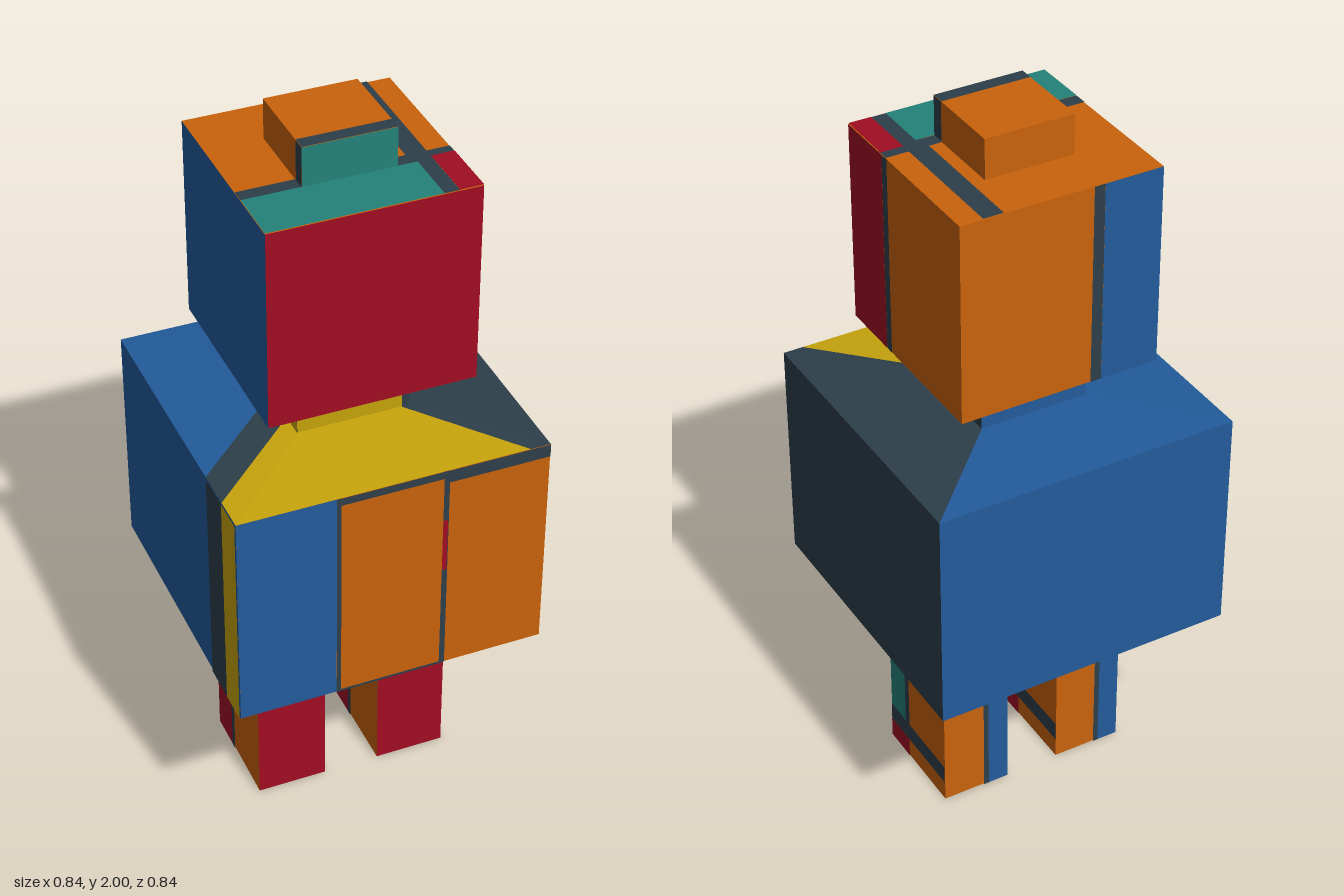
import * as THREE from 'three';

const paint = (name, hex) => {
  const m = new THREE.MeshStandardMaterial({ color: hex });
  m.name = name;
  return m;
};

export function createModel() {
  const red = paint('red', 0xa00d22);
  const orange = paint('orange', 0xc9620c);
  const blue = paint('blue', 0x225b9b);
  const dark = paint('slate', 0x2d3f49);
  const teal = paint('teal', 0x24827a);
  const yellow = paint('yellow', 0xc6a30c);
  const model = new THREE.Group();
  model.name = 'blockFigure';

  // Axis and sign of each face, with the turn that points a plane outwards
  const sides = {
    right: ['x', -1, 0, -Math.PI / 2], left: ['x', 1, 0, Math.PI / 2],
    top: ['y', 1, -Math.PI / 2, 0], bottom: ['y', -1, Math.PI / 2, 0],
    front: ['z', 1, 0, 0], back: ['z', -1, 0, Math.PI],
  };

  // Box with one base colour per face; patches are [side, colour, a0, a1, b0, b1],
  // where (a, b) is (z, y) on x faces, (x, z) on y faces and (x, y) on z faces
  function block(name, [x0, x1], [y0, y1], [z0, z1], base, patches) {
    const part = new THREE.Group();
    part.name = name;
    const body = new THREE.Mesh(new THREE.BoxGeometry(x1 - x0, y1 - y0, z1 - z0), base);
    body.name = name + 'Body';
    body.position.set((x0 + x1) / 2, (y0 + y1) / 2, (z0 + z1) / 2);
    part.add(body);
    const range = { x: [x0, x1], y: [y0, y1], z: [z0, z1] };
    patches.forEach(([side, mat, a0, a1, b0, b1], i) => {
      const [axis, sign, rx, ry] = sides[side];
      const [u, v] = { x: ['z', 'y'], y: ['x', 'z'], z: ['x', 'y'] }[axis];
      const [c0, c1] = [b0 ?? range[v][0], b1 ?? range[v][1]];
      const plate = new THREE.Mesh(new THREE.PlaneGeometry(a1 - a0, c1 - c0), mat);
      plate.name = `${name}${side}Patch`;
      plate.rotation.set(rx, ry, 0);
      plate.position[u] = (a0 + a1) / 2;
      plate.position[v] = (c0 + c1) / 2;
      plate.position[axis] = range[axis][sign > 0 ? 1 : 0] + sign * 0.0004 * (i + 1);
      part.add(plate);
    });
    model.add(part);
  }

  // Base colours are ordered +x, -x, top, bottom, front, back
  // Legs
  for (const x of [-0.273, 0.078]) {
    const w = 0.195;
    block(x < 0 ? 'rightLeg' : 'leftLeg', [x, x + w], [0, 0.56], [-0.152, 0.152],
      [orange, orange, blue, blue, red, orange], [
        ['left', teal, 0.07, 0.152, 0.1, 0.556],
        ['left', dark, 0.048, 0.07, 0.06, 0.556],
        ['left', dark, -0.152, 0.152, 0.06, 0.115],
        ['left', red, 0.05, 0.152, 0, 0.06],
        ['right', red, -0.152, -0.05],
        ['right', dark, -0.05, -0.03],
        ['back', blue, x, x + 0.06],
        ['back', dark, x + 0.06, x + 0.075],
      ]);
  }

  // Torso
  block('torso', [-0.42, 0.42], [0.556, 1.185], [-0.42, 0.42],
    [dark, blue, blue, blue, orange, blue], [
      ['front', blue, -0.42, -0.157],
      ['front', dark, -0.157, -0.145],
      ['front', dark, 0.13, 0.145],
      ['front', red, 0.13, 0.143, 0.87, 1.03],
      ['front', dark, -0.157, 0.13, 1.163, 1.185],
      ['front', dark, 0.13, 0.42, 1.148, 1.185],
      ['front', dark, -0.157, 0.14, 0.556, 0.563],
      ['right', dark, 0.225, 0.33],
      ['right', yellow, 0.33, 0.42],
      ['bottom', dark, -0.42, 0.42, 0.225, 0.34],
      ['bottom', dark, 0.38, 0.42, -0.3, 0.42],
      ['bottom', yellow, -0.42, 0.34, 0.34, 0.42],
    ]);

  // Shallow sloping shoulders: outer and inner (x, z) points, colour up to the next
  const ring = [
    [-0.42, -0.42, -0.15, -0.15, blue],
    [-0.42, 0.215, -0.15, -0.03, dark],
    [-0.42, 0.325, -0.15, 0.08, yellow],
    [-0.42, 0.42, -0.15, 0.15, yellow],
    [0.365, 0.42, 0.13, 0.15, dark],
    [0.42, 0.42, 0.15, 0.15, dark],
    [0.42, -0.42, 0.15, -0.15, blue],
  ];
  const shoulders = new THREE.Group();
  shoulders.name = 'shoulders';
  ring.forEach(([ox, oz, nx, nz, mat], i) => {
    const [px, pz, qx, qz] = ring[(i + 1) % ring.length];
    const g = new THREE.BufferGeometry();
    g.setAttribute('position', new THREE.Float32BufferAttribute(
      [ox, 1.185, oz, px, 1.185, pz, qx, 1.2, qz, nx, 1.2, nz], 3));
    g.setIndex([0, 1, 2, 0, 2, 3]);
    g.computeVertexNormals();
    const slope = new THREE.Mesh(g, mat);
    slope.name = 'shoulderSlope';
    shoulders.add(slope);
  });
  model.add(shoulders);

  // Neck
  block('neck', [-0.152, 0.152], [1.19, 1.336], [-0.152, 0.152],
    [dark, blue, blue, blue, yellow, blue], [
      ['front', dark, 0.133, 0.152],
      ['right', dark, -0.02, 0.085],
      ['right', yellow, 0.085, 0.152],
    ]);

  // Head
  block('head', [-0.277, 0.277], [1.336, 1.89], [-0.277, 0.277],
    [orange, blue, orange, orange, red, orange], [
      ['left', dark, 0.08, 0.105],
      ['left', red, 0.105, 0.277],
      ['back', dark, -0.115, -0.085],
      ['back', blue, -0.277, -0.115],
      ['top', dark, -0.277, 0.277, 0.083, 0.122],
      ['top', dark, 0.16, 0.215],
      ['top', teal, -0.277, 0.175, 0.122, 0.277],
      ['top', red, 0.215, 0.277, 0.11, 0.277],
      ['bottom', blue, -0.277, -0.115],
      ['bottom', dark, -0.115, -0.07],
      ['bottom', dark, -0.115, 0.277, 0.08, 0.12],
      ['bottom', red, -0.115, 0.277, 0.12, 0.277],
    ]);

  // Stud on top of the head
  block('headStud', [-0.123, 0.123], [1.885, 2], [-0.123, 0.123],
    [orange, orange, orange, orange, teal, orange], [
      ['left', dark, 0.087, 0.123],
      ['right', dark, 0.087, 0.123],
      ['top', dark, -0.123, 0.123, 0.085, 0.123],
    ]);

  return model;
}
